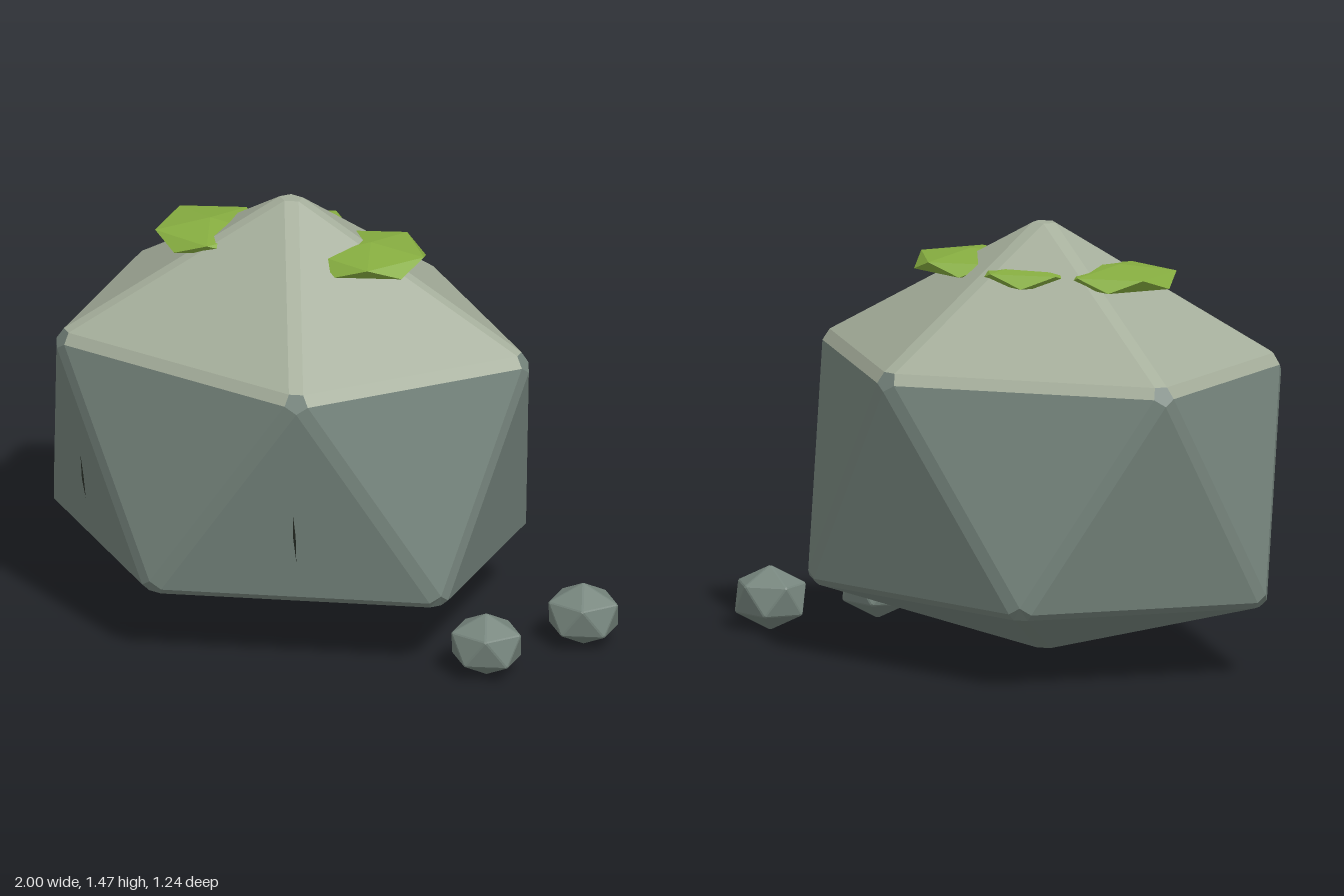
import * as THREE from 'three';
import { ConvexGeometry } from 'three/addons/geometries/ConvexGeometry.js';

const mat = (color) => new THREE.MeshStandardMaterial({ color, flatShading: true });

// Unit icosahedron standing on a corner; bevel > 0 pulls each face in to chamfer the edges
function icosahedron(bevel) {
  const ring = (y, turn) => Array.from({ length: 5 }, (_, i) => {
    const a = turn + (i * Math.PI * 2) / 5;
    return new THREE.Vector3(0.8944 * Math.cos(a), y, 0.8944 * Math.sin(a));
  });
  const top = new THREE.Vector3(0, 1, 0), bottom = new THREE.Vector3(0, -1, 0);
  const up = ring(0.4472, 0), low = ring(-0.4472, Math.PI / 5);
  if (!bevel) return new ConvexGeometry([top, bottom, ...up, ...low]);
  const points = [];
  for (let i = 0; i < 5; i++) {
    const j = (i + 1) % 5;
    const faces = [[top, up[i], up[j]], [up[i], up[j], low[i]], [low[i], low[j], up[j]], [bottom, low[i], low[j]]];
    for (const face of faces) {
      const centre = new THREE.Vector3();
      face.forEach((v) => centre.addScaledVector(v, 1 / 3));
      face.forEach((v) => points.push(v.clone().lerp(centre, bevel)));
    }
  }
  return new ConvexGeometry(points);
}

// Keep only the triangles whose normal passes the test
function pickFaces(geometry, test) {
  const p = geometry.attributes.position.array, n = geometry.attributes.normal.array;
  const kept = [];
  for (let i = 0; i < p.length; i += 9) if (test(n[i + 1])) kept.push(...p.slice(i, i + 9));
  const result = new THREE.BufferGeometry();
  result.setAttribute('position', new THREE.Float32BufferAttribute(kept, 3));
  return result;
}

export function createModel() {
  const model = new THREE.Group();
  model.name = 'boulder';
  const stone = mat(0x76857d), paleStone = mat(0xa5ae9b), moss = mat(0x86ad40), dark = mat(0x20251f);
  const add = (name, geometry, material, position, scale) => {
    const mesh = new THREE.Mesh(geometry, material);
    mesh.name = name;
    mesh.position.set(...position);
    mesh.scale.set(...scale);
    model.add(mesh);
    return mesh;
  };

  // Main rock: flattened underside, paler cap on the upward faces
  const rock = icosahedron(0.09);
  const parts = [
    ['rockBody', pickFaces(rock, (ny) => ny <= 0.49), stone],
    ['rockCap', pickFaces(rock, (ny) => ny > 0.49), paleStone],
  ];
  for (const [name, geometry, material] of parts) {
    const pos = geometry.attributes.position;
    for (let i = 0; i < pos.count; i++) {
      const y = pos.getY(i);
      if (y < -0.43) pos.setY(i, -0.43 + (y + 0.43) * 0.48);
    }
    geometry.computeVertexNormals();
    add(name, geometry, material, [-0.15, 0.63, 0], [0.962, 0.87, 0.737]);
  }

  // Moss patches half sunk into the cap
  const patch = icosahedron(0);
  for (const [x, z] of [[-0.44, 0], [0.135, 0], [-0.15, -0.08]]) {
    add('mossPatch', patch, moss, [x, 1.31, z], [0.212, 0.046, 0.212]);
  }

  // Thin cracks on the front faces
  const sliver = new THREE.OctahedronGeometry(1);
  for (const [x, z, tilt] of [[-0.765, 0.322, 0.27], [0.078, 0.54, 0.16]]) {
    add('crack', sliver, dark, [x, 0.5, z], [0.006, 0.155, 0.02]).rotation.x = tilt;
  }

  // Pebbles beside the rock
  const pebble = icosahedron(0.09);
  for (const [x, z] of [[0.67, 0.307], [0.875, -0.053]]) {
    add('pebble', pebble, stone, [x, 0.108, z], [0.139, 0.111, 0.123]);
  }
  return model;
}
